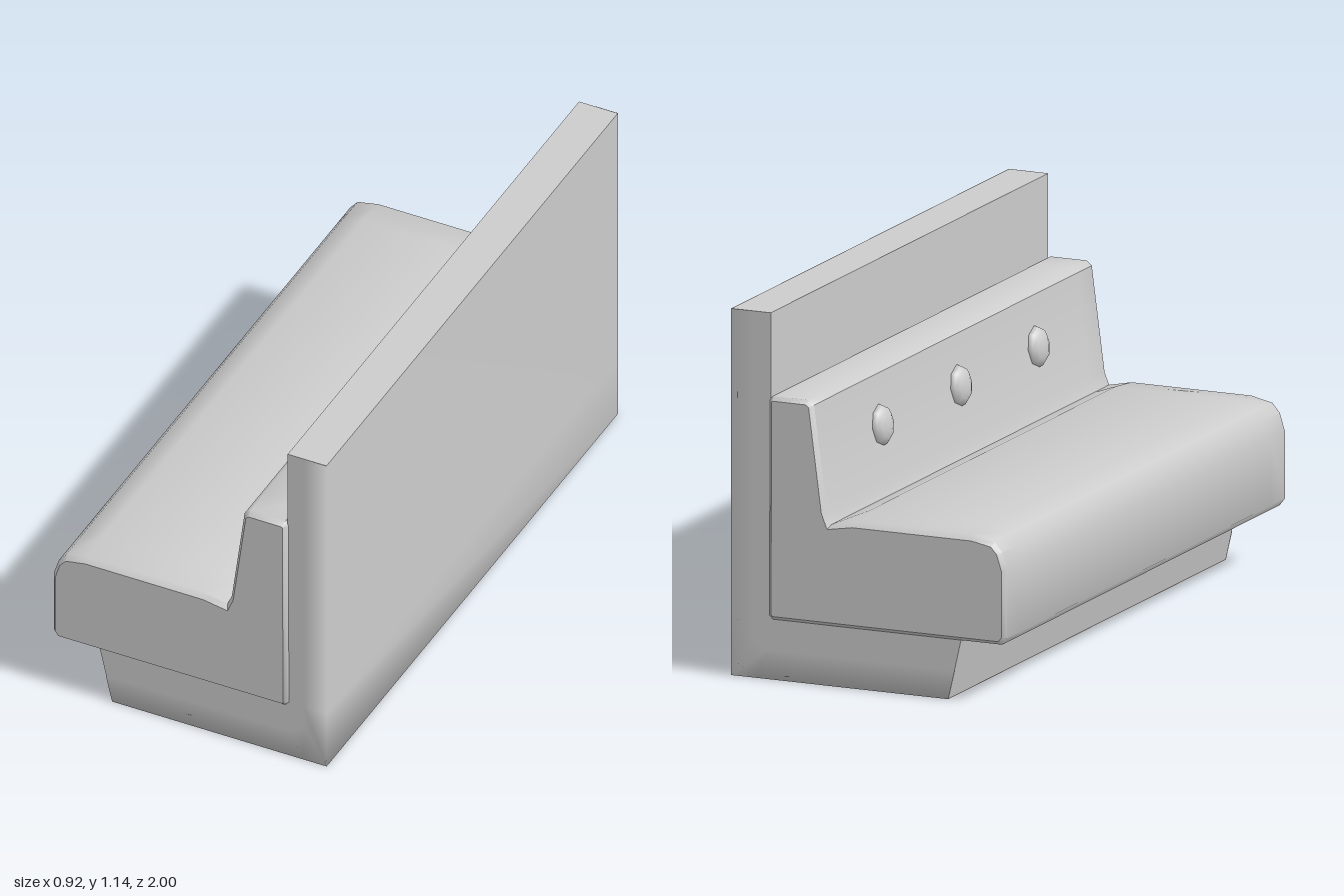
import * as THREE from 'three';
import { toCreasedNormals } from 'three/addons/utils/BufferGeometryUtils.js';

const material = new THREE.MeshStandardMaterial({ color: 0xcccccc });
const thinMaterial = new THREE.MeshStandardMaterial({ color: 0xcccccc, side: THREE.DoubleSide });

function named(name, geometry, mat = material) {
  const mesh = new THREE.Mesh(geometry, mat);
  mesh.name = name;
  return mesh;
}

// Joins equal-length rings of points; optionally closes each ring and caps the ends
function loft(rings, closed) {
  const n = rings[0].length, index = [];
  for (let r = 0; r < rings.length - 1; r++) {
    for (let i = 0; i < (closed ? n : n - 1); i++) {
      const j = (i + 1) % n;
      const a = r * n + i, b = r * n + j, c = a + n, d = b + n;
      index.push(a, b, d, a, d, c);
    }
  }
  if (closed) {
    const last = (rings.length - 1) * n;
    const flat = rings[0].map(p => new THREE.Vector2(p[0], p[1]));
    for (const [a, b, c] of THREE.ShapeUtils.triangulateShape(flat, [])) {
      index.push(a, c, b, last + a, last + b, last + c);
    }
  }
  const geometry = new THREE.BufferGeometry();
  geometry.setAttribute('position', new THREE.Float32BufferAttribute(rings.flat(2), 3));
  geometry.setIndex(index);
  geometry.computeVertexNormals();
  return geometry;
}

// Moves a counter-clockwise outline inwards by d
function inset(points, d) {
  return points.map(([x, y], i) => {
    const [px, py] = points[(i + points.length - 1) % points.length];
    const [nx, ny] = points[(i + 1) % points.length];
    const before = new THREE.Vector2(py - y, x - px).normalize();
    const after = new THREE.Vector2(y - ny, nx - x).normalize();
    const m = before.clone().add(after).normalize();
    const k = d / Math.max(0.5, m.dot(after));
    return [x + m.x * k, y + m.y * k];
  });
}

function createCushion() {
  // Side outline; the third value lifts the crown of the seat
  const outline = [
    [-0.445, 0.188, 0], [0.32, 0.188, 0], [0.332, 0.2, 0], [0.33, 0.87, 0], [0.32, 0.882, 0],
    [0.2, 0.882, 0], [0.183, 0.868, 0], [0.14, 0.54, 0], [0.125, 0.503, 0], [0.05, 0.516, 0.014],
    [-0.35, 0.516, 0.014], [-0.42, 0.503, 0.004], [-0.445, 0.475, 0], [-0.462, 0.42, 0], [-0.462, 0.21, 0]
  ];
  const stations = [[-1, 0.012, 0], [-0.985, 0, 0.2], [-0.88, 0, 1], [0, 0, 1],
    [0.88, 0, 1], [0.985, 0, 0.2], [1, 0.012, 0]];
  const rings = stations.map(([z, d, crown]) => inset(outline, d)
    .map(([x, y], i) => [x, y + outline[i][2] * crown, z]));
  return named('cushion', toCreasedNormals(loft(rings, true), 0.75));
}

function createFrame() {
  const frame = new THREE.Group();
  frame.name = 'frame';

  // Upright panel and plinth in one L-shaped section
  const section = [[-0.265, 0.001], [0.459, 0.001], [0.459, 1.14], [0.328, 1.14], [0.328, 0.2], [-0.31, 0.2]];
  const shape = new THREE.Shape(section.map(p => new THREE.Vector2(...p)));
  const core = new THREE.ExtrudeGeometry(shape, { depth: 1.968, bevelEnabled: false });
  core.translate(0, 0, -0.984);
  frame.add(named('panelAndPlinth', core));

  // Softly shaded skin that wraps the back, the underside and the rims of both ends
  const outer = [[-0.265, 0], [0.38, 0], [0.46, 0], [0.46, 0.2], [0.46, 1.14]];
  const inner = [[-0.286, 0.09], [0.34, 0.09], [0.385, 0.12], [0.385, 0.2], [0.385, 1.14]];
  const at = (points, z) => points.map(([x, y]) => [x, y, z]);
  const skin = loft([at(inner, -0.985), at(outer, -0.985), at(outer, 0.985), at(inner, 0.985)], false);
  frame.add(named('outerSkin', skin, thinMaterial));
  return frame;
}

function createButtons() {
  const buttons = new THREE.Group();
  buttons.name = 'buttons';
  const geometry = new THREE.SphereGeometry(1, 8, 8).scale(0.064, 0.032, 0.06);
  for (const z of [-0.555, 0, 0.55]) {
    const button = named('button', geometry);
    button.position.set(0.161, 0.715, z);
    button.rotation.z = THREE.MathUtils.degToRad(82);
    buttons.add(button);
  }
  return buttons;
}

export function createModel() {
  const bench = new THREE.Group();
  bench.name = 'boothBench';
  bench.add(createFrame(), createCushion(), createButtons());
  return bench;
}
